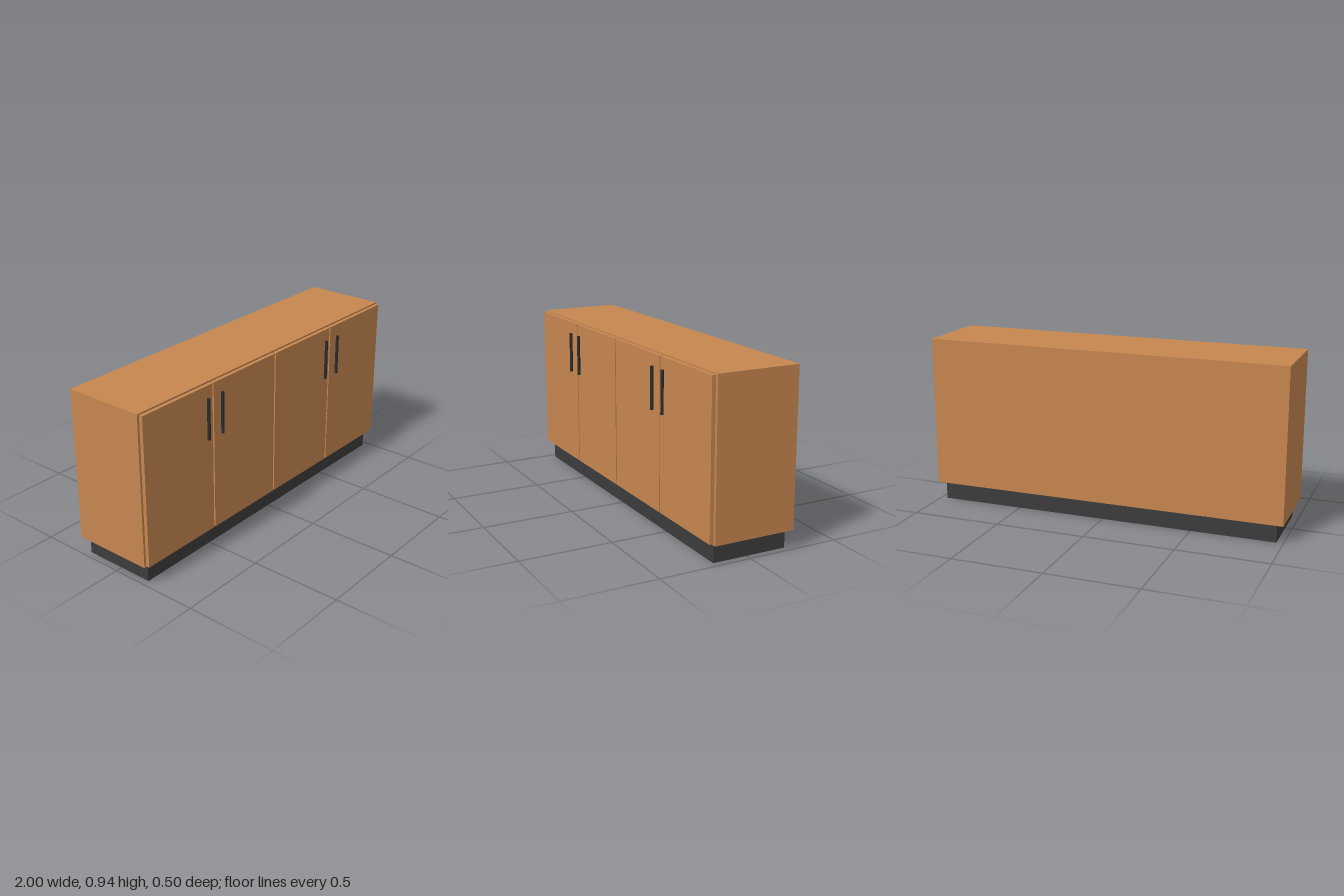
import * as THREE from 'three';

export function createModel() {
  const model = new THREE.Group();
  model.name = 'sideboard';

  const material = (name, color) => {
    const m = new THREE.MeshStandardMaterial({ color });
    m.name = name;
    return m;
  };
  const wood = material('warm wood', 0xc68650);
  const plinthGrey = material('plinth dark grey', 0x3c3c3c);
  const handleBlack = material('handle black', 0x2a2c2e);

  // Box given by its lower and upper corners
  const box = (name, mat, [x0, y0, z0], [x1, y1, z1]) => {
    const mesh = new THREE.Mesh(new THREE.BoxGeometry(x1 - x0, y1 - y0, z1 - z0), mat);
    mesh.name = name;
    mesh.position.set((x0 + x1) / 2, (y0 + y1) / 2, (z0 + z1) / 2);
    model.add(mesh);
  };

  // Recessed plinth and carcass
  box('plinth', plinthGrey, [-0.963, 0, -0.223], [0.963, 0.101, 0.188]);
  box('carcass', wood, [-1, 0.101, -0.248], [1, 0.936, 0.202]);

  // Four doors with narrow gaps, each pair with handles at its meeting edge
  const gap = 0.009, start = -0.99, pitch = 0.4965;
  for (let i = 0; i < 4; i++) {
    const x0 = start + i * pitch, x1 = x0 + pitch - gap;
    box('door' + (i + 1), wood, [x0, 0.109, 0.205], [x1, 0.929, 0.225]);

    const handle = new THREE.Mesh(new THREE.CylinderGeometry(0.0085, 0.0085, 0.225, 16), handleBlack);
    handle.name = 'handle' + (i + 1);
    handle.position.set(i % 2 === 0 ? x1 - 0.048 : x0 + 0.048, 0.756, 0.2415);
    model.add(handle);
  }
  return model;
}
